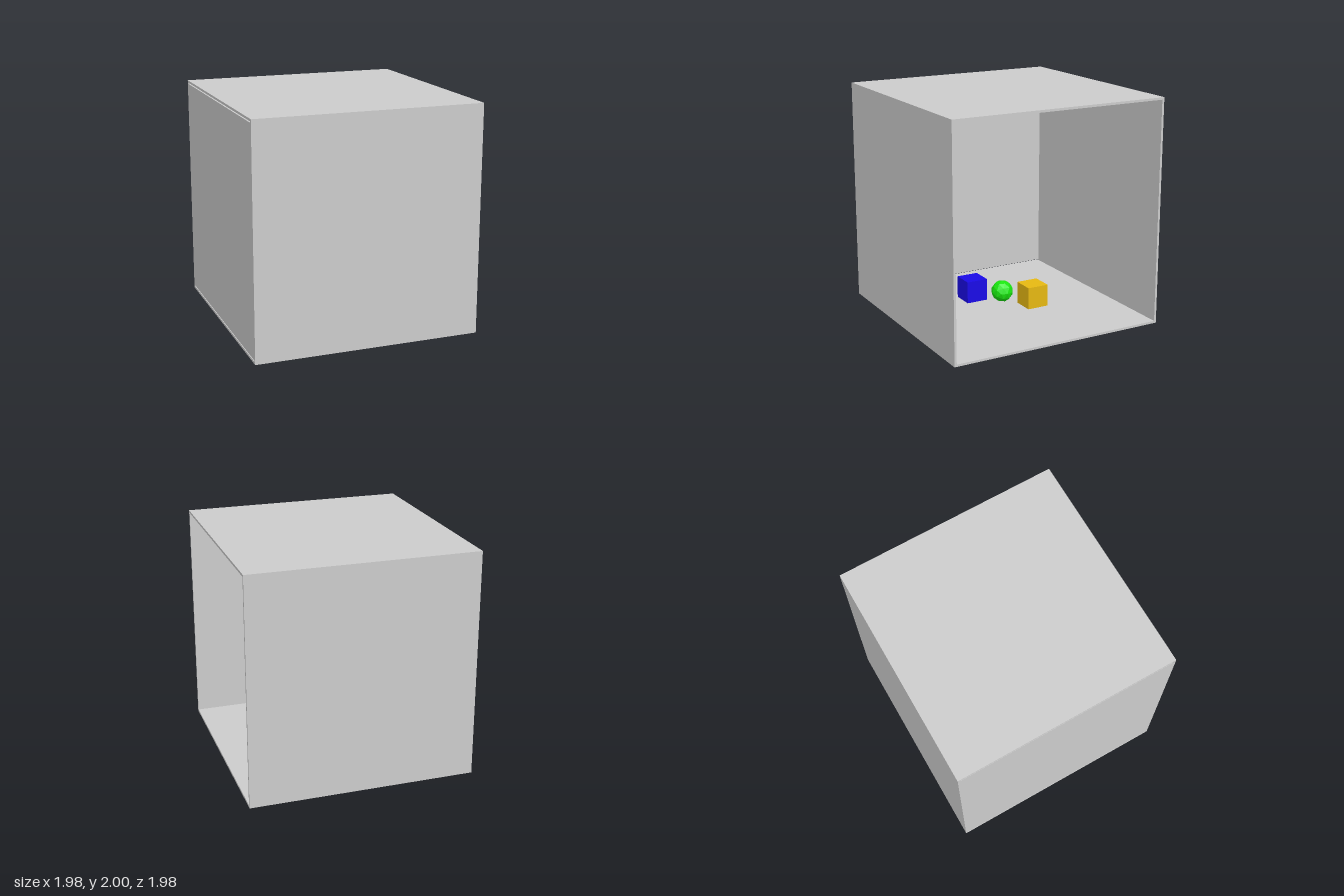
import * as THREE from 'three';

const HALF = 0.99;   // half width of the room
const T = 0.02;      // panel thickness
const H = 2;         // room height
const GAP = 0.01;    // slit above and below the end wall

export function createModel() {
  const room = new THREE.Group();
  room.name = 'openRoom';

  function add(name, geometry, color, x, y, z) {
    const material = new THREE.MeshStandardMaterial({ color, flatShading: true });
    const mesh = new THREE.Mesh(geometry, material);
    mesh.name = name;
    mesh.position.set(x, y, z);
    room.add(mesh);
  }
  const box = (w, h, d) => new THREE.BoxGeometry(w, h, d);
  const inner = 2 * (HALF - T);

  // Floor and roof fit between the full-height front and back walls
  add('floor', box(2 * HALF, T, inner), 0xcccccc, 0, T / 2, 0);
  add('roof', box(2 * HALF, T, inner), 0xcccccc, 0, H - T / 2, 0);
  add('frontWall', box(2 * HALF, H, T), 0xcccccc, 0, H / 2, HALF - T / 2);
  add('backWall', box(2 * HALF, H, T), 0xcccccc, 0, H / 2, -HALF + T / 2);

  // End wall on -x; the +x end stays open
  add('endWall', box(T, H - 2 * (T + GAP), inner), 0xcccccc, -HALF + T / 2, H / 2, 0);

  // Row of small solids hovering just above the floor
  const size = 0.198, y = 0.16;
  add('blueCube', box(size, size, size), 0x1a0ae6, -0.2, y, 0.2);
  add('greenBall', new THREE.IcosahedronGeometry(size / 2, 1), 0x1ae60f, 0, y, 0);
  add('yellowCube', box(size, size, size), 0xe6b812, 0.2, y, -0.2);

  return room;
}
